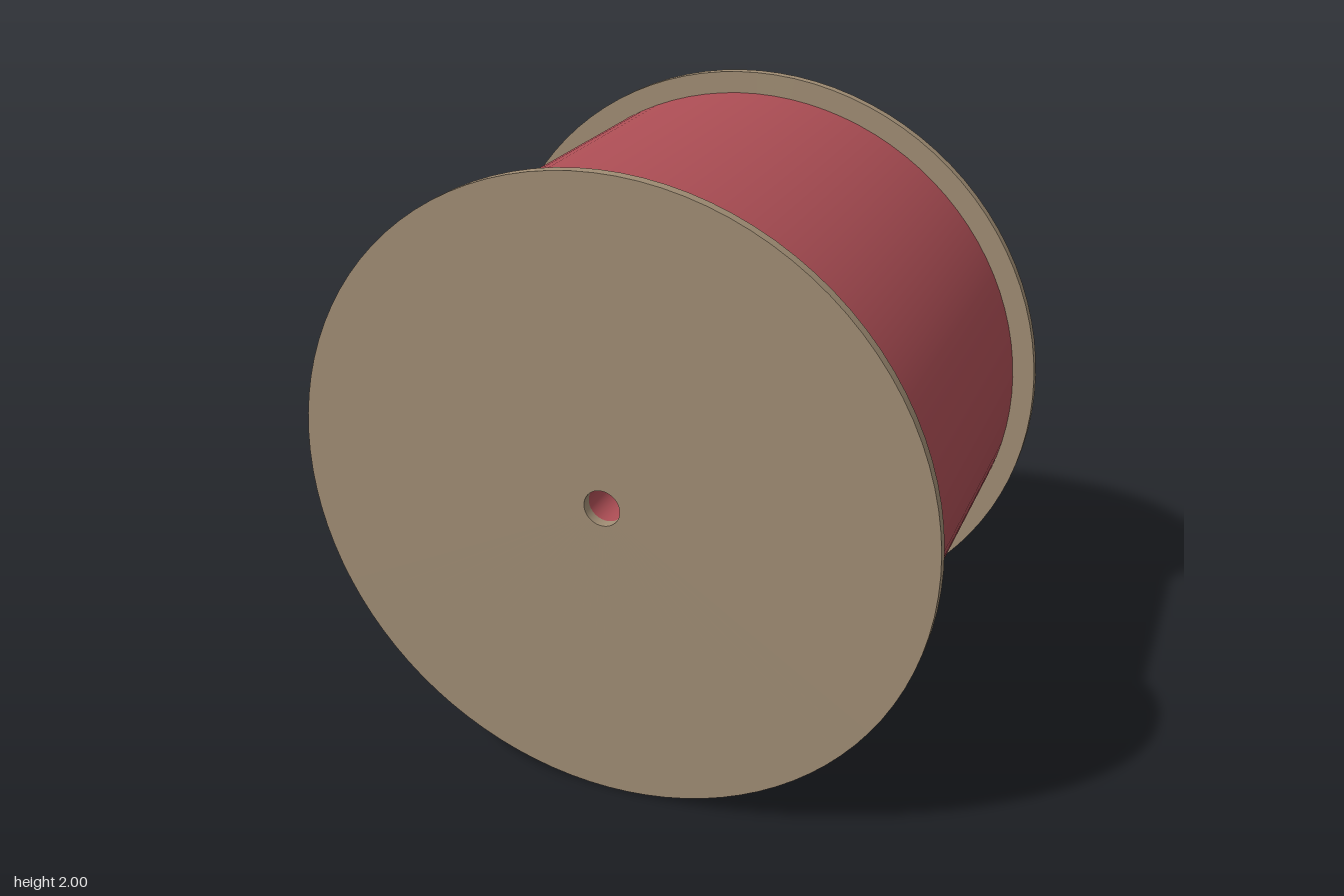
import * as THREE from 'three';
import { mergeGeometries } from 'three/addons/utils/BufferGeometryUtils.js';

const SEGMENTS = 96;
const BORE = 0.057;      // radius of the axle hole
const INNER = 0.61;      // inner face of each flange
const OUTER = 0.643;     // outer face of each flange

// Disc with a centre hole along z; each wall is its own strip so edges stay sharp
function hollowDisc(radius, zMin, zMax) {
  const corners = [[radius, zMin], [radius, zMax], [BORE, zMax], [BORE, zMin]]
    .map(([r, z]) => new THREE.Vector2(r, z));
  const walls = corners.map((corner, i) =>
    new THREE.LatheGeometry([corner, corners[(i + 1) % 4]], SEGMENTS));
  return mergeGeometries(walls).rotateX(Math.PI / 2);
}

export function createModel() {
  const tan = new THREE.MeshStandardMaterial({ name: 'tan', color: 0xa08d74 });
  const red = new THREE.MeshStandardMaterial({ name: 'red', color: 0xad4e55 });

  const spool = new THREE.Group();
  spool.name = 'spool';

  const add = (name, geometry, material) => {
    const mesh = new THREE.Mesh(geometry, material);
    mesh.name = name;
    mesh.position.y = 1;
    spool.add(mesh);
  };

  // Wound drum between two thin end flanges
  add('drum', hollowDisc(0.93, -INNER, INNER), red);
  add('frontFlange', hollowDisc(1, INNER, OUTER), tan);
  add('backFlange', hollowDisc(1, -OUTER, -INNER), tan);

  return spool;
}
